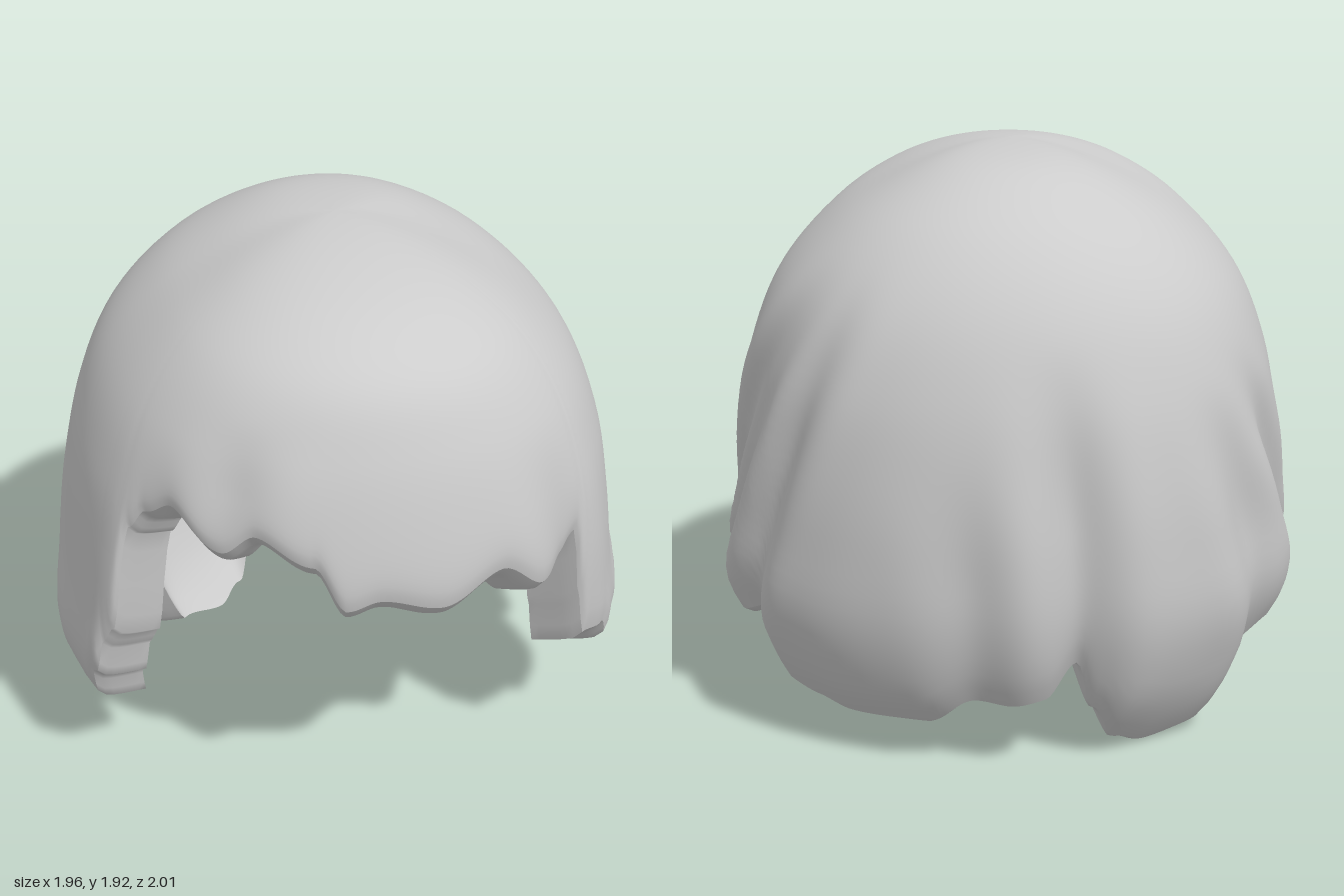
import * as THREE from 'three';

const TOP = 1.925, COLS = 400, ROWS = 44;

// Shell radius at falling heights, as [y, front, back, side]
const PROFILE = [
  [1.925, 0, 0, 0], [1.9, .3, .32, .17], [1.82, .6, .54, .38], [1.7, .79, .71, .58],
  [1.5, .9, .86, .77], [1.25, .97, .95, .875], [1, 1.006, .99, .92], [.75, 1.006, 1.002, .95],
  [.5, .98, .98, .98], [.25, .95, .9, .91], [.1, .88, .8, .86], [0, .82, .73, .8],
];

// Ragged hem as [angle from the front towards +x in degrees, height]
const HEM = [
  [0, 1.05], [12, 1], [24, 1.08], [34, .97], [41, 1.01], [46, 1.05], [48, .8], [50.5, .61], [58, .58],
  [64, .47], [72, .43], [78, .46], [87, .56], [91, .51], [97, .5], [100, .53], [104, .42],
  [110, .36], [117, .4], [122, .33], [127, .2], [135, .17], [143, .14], [162, .15], [173, .25],
  [180, .24], [188, .26], [194.5, .38], [199, .2], [206, .06], [216, .01], [231, .04], [238, .29],
  [242, .28], [250, .33], [254, .38], [257, .48], [263, .52], [269, .5], [276, .4], [282, .34],
  [289, .34], [294, .37], [297, .5], [299, .52], [301, .66], [304, .73], [308, 1.14], [312, 1.22],
  [319, 1.28], [330, 1.17], [337, 1.25], [348, 1.17], [354, 1.02], [360, 1.05],
];

// Grooves between locks: [angle at bottom, angle at top, bottom y, top y, depth, width]
const GROOVES = [
  [87, 135, .55, 1.66, .055, 5.5], [100, 141, .5, 1.66, .055, 5], [118, 148, .4, 1.68, .055, 5],
  [194.5, 190, .35, 1.45, .055, 6], [174, 172, .25, 1.1, .02, 6], [241, 222, .32, 1.3, .04, 6],
  [267, 232, .5, 1.35, .05, 6], [48, 36, .6, 1.5, .025, 6], [330, 334, 1.15, 1.6, .02, 6],
  [309, 318, .7, 1.5, .02, 5],
];

const smooth = t => t * t * (3 - 2 * t);

function hemHeight(deg) {
  let i = 0;
  while (i < HEM.length - 2 && HEM[i + 1][0] < deg) i++;
  const [a, ya] = HEM[i], [b, yb] = HEM[i + 1];
  return THREE.MathUtils.lerp(ya, yb, smooth((deg - a) / (b - a)));
}

// Cubic interpolation of one profile column, spaced by depth below the crown
function profileRadius(y, col) {
  const q = k => Math.sqrt(TOP - PROFILE[k][0]), n = PROFILE.length;
  const s = Math.sqrt(Math.max(0, TOP - y));
  let i = 0;
  while (i < n - 2 && q(i + 1) < s) i++;
  const slope = k => {
    const a = Math.max(0, k - 1), b = Math.min(n - 1, k + 1);
    return (PROFILE[b][col] - PROFILE[a][col]) / (q(b) - q(a));
  };
  const h = q(i + 1) - q(i), t = Math.min(1, (s - q(i)) / h), m = smooth(t);
  return PROFILE[i][col] * (1 - m) + PROFILE[i + 1][col] * m
    + h * t * (1 - t) * ((1 - t) * slope(i) - t * slope(i + 1));
}

function radius(deg, y) {
  const a = THREE.MathUtils.degToRad(deg), c = Math.cos(a) ** 2;
  let r = profileRadius(y, Math.cos(a) > 0 ? 1 : 2) * c + profileRadius(y, 3) * (1 - c);
  // Fuller corners
  r *= 1 + .035 * Math.sin(2 * a) ** 2;
  for (const [low, high, y0, y1, depth, width] of GROOVES) {
    const t = (y - y0) / (y1 - y0);
    if (t >= 1) continue;
    const centre = THREE.MathUtils.lerp(low, high, Math.max(0, t));
    const d = ((deg - centre + 540) % 360 - 180) / width;
    r -= depth * smooth(Math.min(1, (1 - t) * 1.8)) * (Math.exp(-d * d) - .25 * Math.exp(-((Math.abs(d) - 1.9) ** 2)));
  }
  return r;
}

const place = (deg, r, y) => {
  const a = THREE.MathUtils.degToRad(deg);
  return new THREE.Vector3(r * Math.sin(a), y, r * Math.cos(a));
};

// u runs from the crown (0) to the hem (1)
function outerPoint(deg, u) {
  const y = TOP - (TOP - hemHeight(deg)) * (1 - Math.cos(u * Math.PI / 2)) ** .95;
  return place(deg, radius(deg, y) - .02 * u ** 30, y);
}

function innerPoint(deg, u) {
  const p = outerPoint(deg, u), c = Math.cos(THREE.MathUtils.degToRad(deg));
  const drop = c > 0 ? -.12 * Math.min(1, c * 1.3) : -.07 * c;
  p.x *= .81;
  p.z *= .81;
  p.y += THREE.MathUtils.lerp(-.17, drop, u * u);
  return p;
}

function hemPoint(deg, v) {
  const p = outerPoint(deg, 1).lerp(innerPoint(deg, 1), v);
  p.y -= .02 * Math.sin(Math.PI * Math.sqrt(v));
  return p;
}

// Sheet closed around the vertical axis
function sheet(name, rows, point, material) {
  const pos = [], index = [];
  for (let i = 0; i <= rows; i++)
    for (let j = 0; j < COLS; j++) pos.push(...point(j * 360 / COLS, i / rows).toArray());
  for (let i = 0; i < rows; i++)
    for (let j = 0; j < COLS; j++) {
      const a = i * COLS + j, b = i * COLS + (j + 1) % COLS;
      index.push(a, a + COLS, b + COLS, a, b + COLS, b);
    }
  const g = new THREE.BufferGeometry();
  g.setAttribute('position', new THREE.Float32BufferAttribute(pos, 3));
  g.setIndex(index);
  g.computeVertexNormals();
  const mesh = new THREE.Mesh(g, material);
  mesh.name = name;
  return mesh;
}

export function createModel() {
  const hair = new THREE.MeshStandardMaterial({ color: 0xcccccc, side: THREE.DoubleSide });
  hair.name = 'light grey hair';

  const wig = new THREE.Group();
  wig.name = 'wig';
  wig.add(
    sheet('outerHair', ROWS, outerPoint, hair),
    sheet('hemEdge', 6, hemPoint, hair),
    sheet('innerLining', ROWS, (deg, u) => innerPoint(deg, 1 - u), hair),
  );

  // Centre on the ground
  const box = new THREE.Box3().setFromObject(wig, true);
  const mid = box.getCenter(new THREE.Vector3());
  wig.position.set(-mid.x, -box.min.y, -mid.z);

  const model = new THREE.Group();
  model.name = 'hairPiece';
  model.add(wig);
  return model;
}
